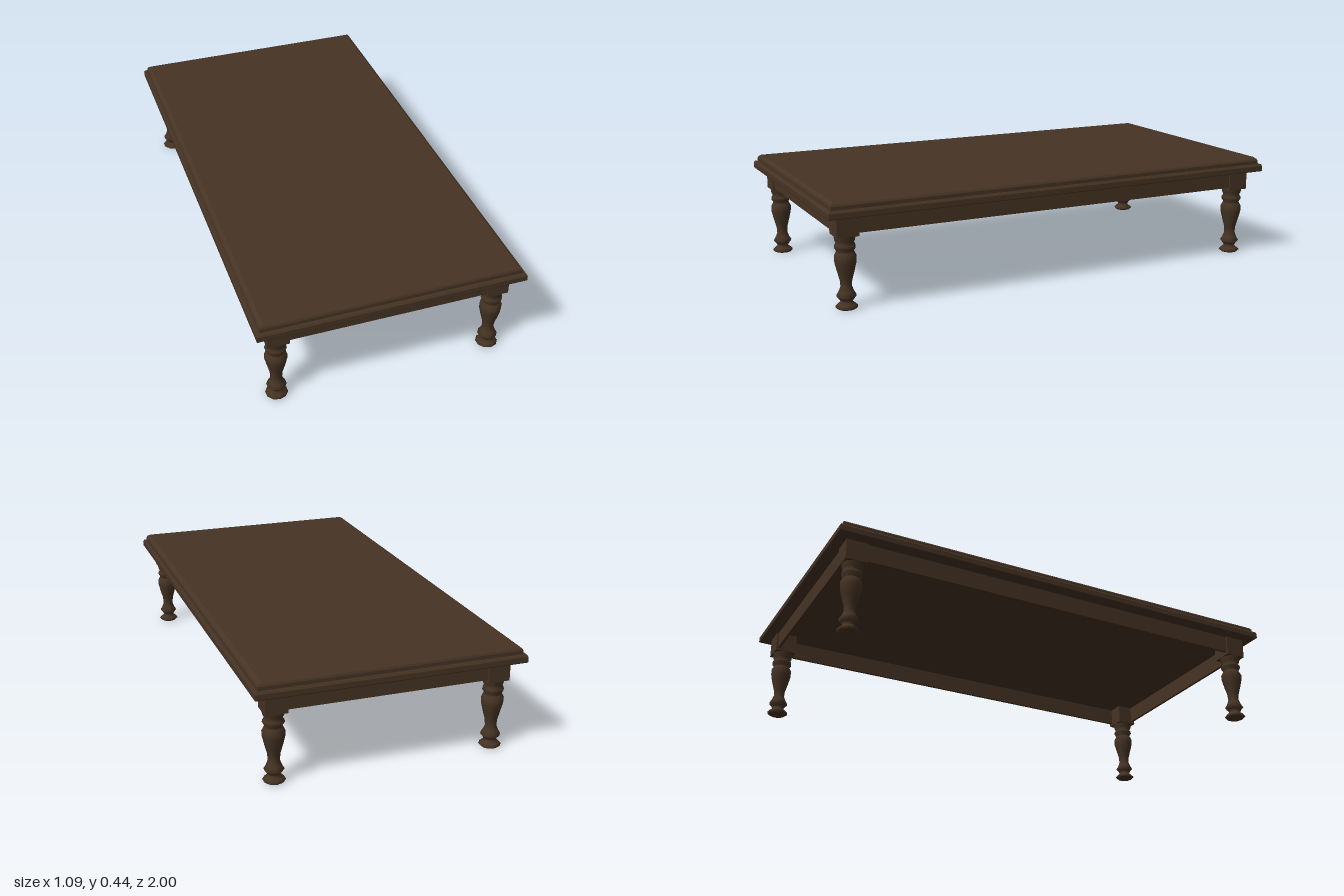
import * as THREE from 'three';

const wood = new THREE.MeshStandardMaterial({ color: 0x463424 });
wood.name = 'dark wood';

const LEG_X = 0.45, LEG_Z = 0.91, BLOCK = 0.09;

function add(parent, name, geometry, x = 0, y = 0, z = 0) {
  const mesh = new THREE.Mesh(geometry, wood);
  mesh.name = name;
  mesh.position.set(x, y, z);
  parent.add(mesh);
  return mesh;
}

// Stack of rectangular rings [half width, half depth, height], capped at both ends
function loftRectangles(rings) {
  const positions = [], index = [];
  for (const [w, d, y] of rings) positions.push(w, y, d, w, y, -d, -w, y, -d, -w, y, d);
  for (let i = 0; i < rings.length - 1; i++) {
    for (let j = 0; j < 4; j++) {
      const a = i * 4 + j, b = i * 4 + (j + 1) % 4;
      index.push(a, b, b + 4, a, b + 4, a + 4);
    }
  }
  const t = (rings.length - 1) * 4;
  index.push(t, t + 1, t + 2, t, t + 2, t + 3, 0, 2, 1, 0, 3, 2);
  const indexed = new THREE.BufferGeometry();
  indexed.setAttribute('position', new THREE.Float32BufferAttribute(positions, 3));
  indexed.setIndex(index);
  const geometry = indexed.toNonIndexed();
  geometry.computeVertexNormals();
  return geometry;
}

export function createModel() {
  const table = new THREE.Group();
  table.name = 'lowTable';

  // Top: wide lower moulding, then a stepped, chamfered board
  add(table, 'tableTop', loftRectangles([
    [0.543, 0.998, 0.378], [0.545, 1, 0.381], [0.545, 1, 0.402], [0.54, 0.995, 0.41],
    [0.53, 0.985, 0.41], [0.53, 0.985, 0.425], [0.525, 0.981, 0.433], [0.513, 0.972, 0.44],
  ]));

  // Thin aprons set just inside the outer faces of the leg blocks
  const apronY = 0.342, apronH = 0.076, inset = 0.032;
  for (const s of [1, -1]) {
    add(table, s > 0 ? 'frontApron' : 'backApron',
      new THREE.BoxGeometry(2 * LEG_X - BLOCK, apronH, 0.012), 0, apronY, s * (LEG_Z + inset));
    add(table, s > 0 ? 'leftApron' : 'rightApron',
      new THREE.BoxGeometry(0.012, apronH, 2 * LEG_Z - BLOCK), s * (LEG_X + inset), apronY, 0);
  }

  // Turned legs: foot, ankle bead, vase, ring and collar
  const profile = [
    [0, 0], [0.036, 0], [0.045, 0.008], [0.036, 0.017], [0.023, 0.028], [0.03, 0.04],
    [0.04, 0.052], [0.031, 0.067], [0.023, 0.088], [0.025, 0.115], [0.036, 0.155],
    [0.044, 0.188], [0.045, 0.21], [0.037, 0.225], [0.034, 0.232], [0.043, 0.245],
    [0.041, 0.255], [0.035, 0.264], [0.041, 0.275], [0.044, 0.295],
  ].map(([r, y]) => new THREE.Vector2(r, y));
  const turned = new THREE.LatheGeometry(profile, 10);
  const block = new THREE.BoxGeometry(BLOCK, 0.087, BLOCK);

  for (const sx of [1, -1]) {
    for (const sz of [1, -1]) {
      const leg = new THREE.Group();
      leg.name = (sz > 0 ? 'front' : 'back') + (sx > 0 ? 'Left' : 'Right') + 'Leg';
      leg.position.set(sx * LEG_X, 0, sz * LEG_Z);
      add(leg, 'turnedLeg', turned);
      add(leg, 'legBlock', block, 0, 0.3365, 0);
      table.add(leg);
    }
  }
  return table;
}
